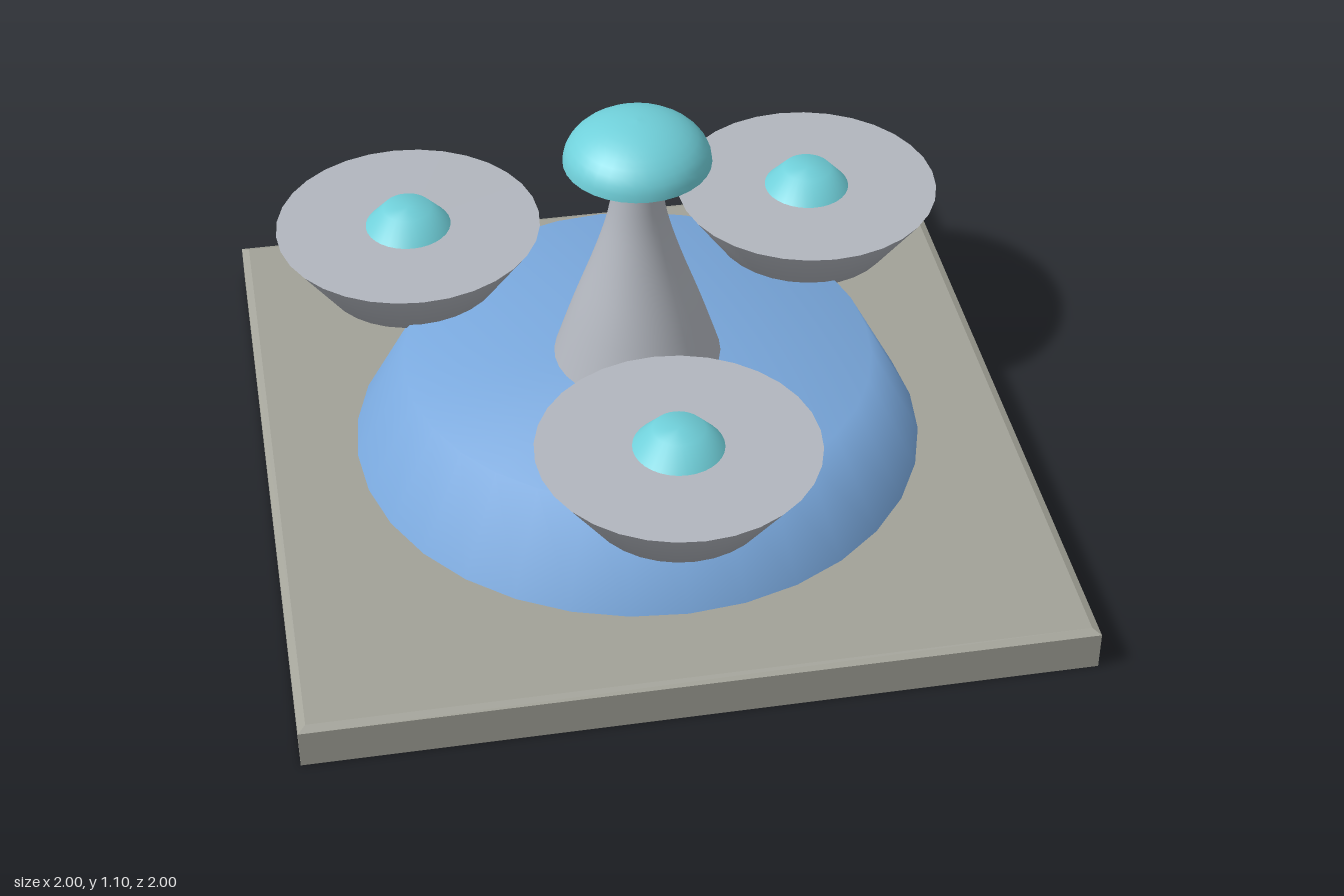
import * as THREE from 'three';
import { mergeGeometries } from 'three/addons/utils/BufferGeometryUtils.js';

const material = (name, color) => {
  const m = new THREE.MeshStandardMaterial({ color });
  m.name = name;
  return m;
};

// Revolves profiles listed bottom to top; each is smooth, with a sharp edge between them
function revolve(...profiles) {
  return mergeGeometries(profiles.map((p) =>
    new THREE.LatheGeometry(p.map(([r, y]) => new THREE.Vector2(r, y)), 32)));
}

function addPart(parent, name, geometry, mat) {
  const mesh = new THREE.Mesh(geometry, mat);
  mesh.name = name;
  parent.add(mesh);
  return mesh;
}

export function createModel() {
  const stone = material('warm grey stone', 0xa2a298);
  const blue = material('blue', 0x7aa9de);
  const grey = material('light grey', 0xb2b6be);
  const turquoise = material('turquoise', 0x70d0da);

  const model = new THREE.Group();
  model.name = 'fountain';

  // Square slab with a slight bevel around its top
  const slab = addPart(model, 'baseSlab', new THREE.BoxGeometry(2, 0.105, 2), stone);
  slab.position.y = 0.0525;
  const bevel = new THREE.CylinderGeometry(0.98 * Math.SQRT2, Math.SQRT2, 0.01, 4, 1, false)
    .rotateY(Math.PI / 4).toNonIndexed();
  bevel.computeVertexNormals();
  addPart(model, 'slabBevel', bevel, stone).position.y = 0.11;

  // Broad mound with a soft-shaded shoulder
  addPart(model, 'mound', revolve([[0.76, 0.11], [0.62, 0.375], [0, 0.375]]), blue);

  // Flared central column
  const flare = new THREE.SplineCurve([
    [0.222, 0.37], [0.17, 0.53], [0.11, 0.7], [0.074, 0.83], [0.053, 0.985],
  ].map(([r, y]) => new THREE.Vector2(r, y))).getPoints(14);
  addPart(model, 'column', revolve(flare.map((p) => [p.x, p.y])), grey);

  // Half-ellipsoid cap with a flat underside
  const capCurve = Array.from({ length: 11 }, (_, i) => {
    const a = (i / 10) * Math.PI / 2;
    return [i === 10 ? 0 : 0.19 * Math.cos(a), 0.98 + 0.12 * Math.sin(a)];
  });
  addPart(model, 'cap', revolve([[0, 0.98], [0.19, 0.98]], capCurve), turquoise);

  // Three bowls, each with a small knob
  const bowlGeometry = revolve(
    [[0, 0.355], [0.235, 0.355], [0.358, 0.53]],
    [[0.358, 0.53], [0, 0.53]],
  );
  const knobGeometry = revolve([[0.117, 0.528], [0.066, 0.585], [0, 0.585]]);
  for (const [name, x, z] of [
    ['frontBowl', 0, 0.595], ['backLeftBowl', 0.553, -0.45], ['backRightBowl', -0.553, -0.45],
  ]) {
    const unit = new THREE.Group();
    unit.name = name;
    unit.position.set(x, 0, z);
    addPart(unit, 'bowl', bowlGeometry, grey);
    addPart(unit, 'knob', knobGeometry, turquoise);
    model.add(unit);
  }
  return model;
}
